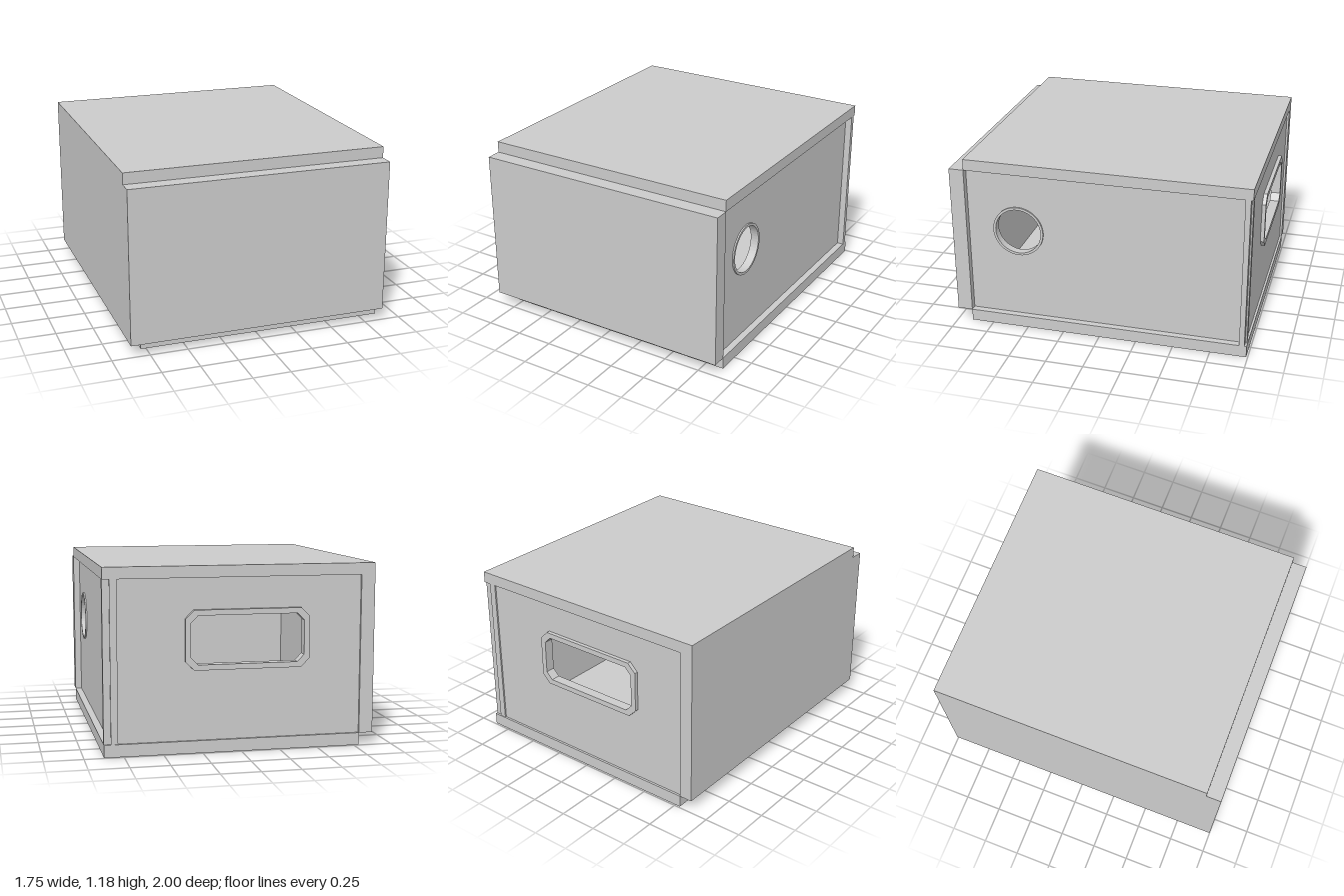
import * as THREE from 'three';

const mat = new THREE.MeshStandardMaterial({ color: 0xcccccc, flatShading: true });
const smooth = new THREE.MeshStandardMaterial({ color: 0xcccccc });

export function createModel() {
  const group = new THREE.Group();

  function add(name, geometry, material = mat) {
    const mesh = new THREE.Mesh(geometry, material);
    mesh.name = name;
    group.add(mesh);
    return mesh;
  }

  // Box given by its limits on each axis
  function board(name, [x0, x1], [y0, y1], [z0, z1]) {
    add(name, new THREE.BoxGeometry(x1 - x0, y1 - y0, z1 - z0))
      .position.set((x0 + x1) / 2, (y0 + y1) / 2, (z0 + z1) / 2);
  }

  // Rectangle with cut corners, centred on cx, cy
  function cutRect(cx, cy, hw, hh, c) {
    return [[-hw + c, -hh], [hw - c, -hh], [hw, -hh + c], [hw, hh - c],
      [hw - c, hh], [-hw + c, hh], [-hw, hh - c], [-hw, -hh + c]]
      .map(([x, y]) => new THREE.Vector2(cx + x, cy + y));
  }

  function rect(x0, x1, y0, y1) {
    return new THREE.Shape([[x0, y0], [x1, y0], [x1, y1], [x0, y1]]
      .map(([x, y]) => new THREE.Vector2(x, y)));
  }

  function circlePath(x, y, r) {
    return new THREE.Path().absarc(x, y, r, 0, Math.PI * 2, true);
  }

  const extrude = (shape, depth) => new THREE.ExtrudeGeometry(shape,
    { depth, bevelEnabled: false, curveSegments: 24 });

  // Solid boards of the box
  const inner = [0.08, 1.11];
  board('topBoard', [-0.875, 0.875], [1.11, 1.185], [-0.99, 0.9]);
  board('bottomBoard', [-0.785, 0.875], [0, 0.08], [-0.99, 0.9]);
  board('leftoverSideWall', [-0.875, -0.785], inner, [-0.99, 1]);
  group.children[2].name = 'plainSideWall';
  board('frontPanel', [-0.785, 0.875], inner, [0.9, 1]);

  // Corner post where the recessed panels meet
  board('cornerPost', [0.785, 0.875], inner, [-0.975, -0.94]);
  board('cornerPostLip', [0.785, 0.83], inner, [-0.985, -0.975]);

  // Recessed side panel with a round port, extruded along x
  const portZ = 0.555, portY = 0.695;
  const side = rect(-0.9, 0.94, ...inner);
  side.holes.push(circlePath(-portZ, portY, 0.16));
  const sidePanel = add('portPanel', extrude(side, 0.045));
  sidePanel.rotation.y = Math.PI / 2;
  sidePanel.position.x = 0.785;

  // Thin ring around the port
  const ringProfile = [[0.155, 0], [0.155, 0.06], [0.172, 0.06], [0.172, 0.045]]
    .map(([r, y]) => new THREE.Vector2(r, y));
  const ringShape = new THREE.Shape().absarc(0, 0, ringProfile[2].x, 0, Math.PI * 2, false);
  ringShape.holes.push(circlePath(0, 0, ringProfile[0].x));
  const ring = add('portRing', extrude(ringShape, 0.055), smooth);
  ring.rotation.y = Math.PI / 2;
  ring.position.set(0.785, portY, portZ);

  // Recessed back panel with a handle opening
  const hx = -0.04, hy = 0.72;
  const back = rect(-0.785, 0.785, ...inner);
  back.holes.push(new THREE.Path(cutRect(hx, hy, 0.38, 0.17, 0.05).reverse()));
  add('handlePanel', extrude(back, 0.035)).position.z = -0.975;

  // Raised frame around the handle opening
  const frame = new THREE.Shape(cutRect(hx, hy, 0.4, 0.19, 0.055));
  frame.holes.push(new THREE.Path(cutRect(hx, hy, 0.365, 0.155, 0.045).reverse()));
  add('handleFrame', extrude(frame, 0.065)).position.z = -1;

  return group;
}
